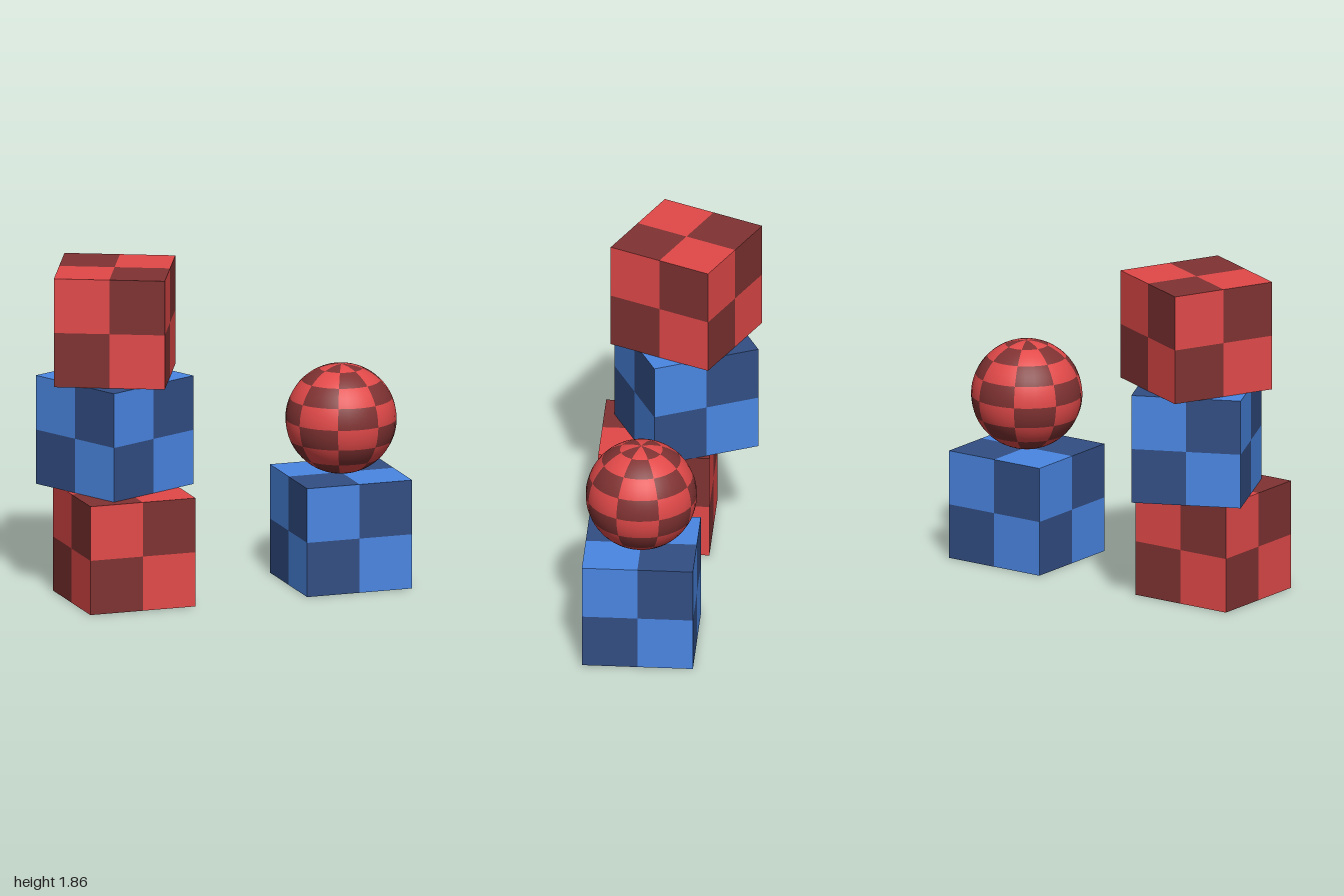
import * as THREE from 'three';
import { mergeGeometries } from 'three/addons/utils/BufferGeometryUtils.js';

const SIZE = 0.62;

function paint(name, color) {
  const m = new THREE.MeshStandardMaterial({ color });
  m.name = name;
  return m;
}

// Cube whose faces each carry a 2 x 2 checker, light at upper left
function checkerCube(name, materials, x, y, z, degrees = 0) {
  const geo = new THREE.BoxGeometry(SIZE, SIZE, SIZE, 2, 2, 2);
  geo.clearGroups();
  for (let quad = 0; quad < 24; quad++) {
    const q = quad % 4;
    geo.addGroup(quad * 6, 6, q === 0 || q === 3 ? 0 : 1);
  }
  const cube = new THREE.Mesh(geo, materials);
  cube.name = name;
  cube.position.set(x, y, z);
  cube.rotation.y = THREE.MathUtils.degToRad(degrees);
  return cube;
}

// Ball made of 8 x 8 alternating patches
function checkerBall(name, materials, radius) {
  const patches = [[], []];
  const dPhi = Math.PI / 4, dTheta = Math.PI / 8;
  for (let band = 0; band < 8; band++) {
    for (let col = 0; col < 8; col++) {
      patches[(band + col + 1) % 2].push(new THREE.SphereGeometry(
        radius, 4, 4, (col + 0.5) * dPhi, dPhi, band * dTheta, dTheta));
    }
  }
  const ball = new THREE.Group();
  ball.name = name;
  patches.forEach((list, i) => {
    const mesh = new THREE.Mesh(mergeGeometries(list), materials[i]);
    mesh.name = i === 0 ? 'lightPatches' : 'darkPatches';
    ball.add(mesh);
  });
  return ball;
}

export function createModel() {
  const red = [paint('red', 0xe24949), paint('darkRed', 0x803232)];
  const blue = [paint('blue', 0x4a86e2), paint('darkBlue', 0x324e84)];
  const model = new THREE.Group();
  model.name = 'stackedBlocks';

  // Tower of three cubes, the upper two twisted
  model.add(
    checkerCube('bottomCube', red, -0.59, SIZE * 0.5, 0.13),
    checkerCube('middleCube', blue, -0.59, SIZE * 1.5, -0.03, 25),
    checkerCube('topCube', red, -0.59, SIZE * 2.5, -0.03, 65),
  );

  // Single cube with a ball resting on it
  model.add(checkerCube('ballCube', blue, 0.69, SIZE * 0.5, 0.13));
  const ball = checkerBall('ball', red, SIZE / 2);
  ball.position.set(0.69, SIZE * 1.5, 0.13);
  model.add(ball);

  return model;
}
